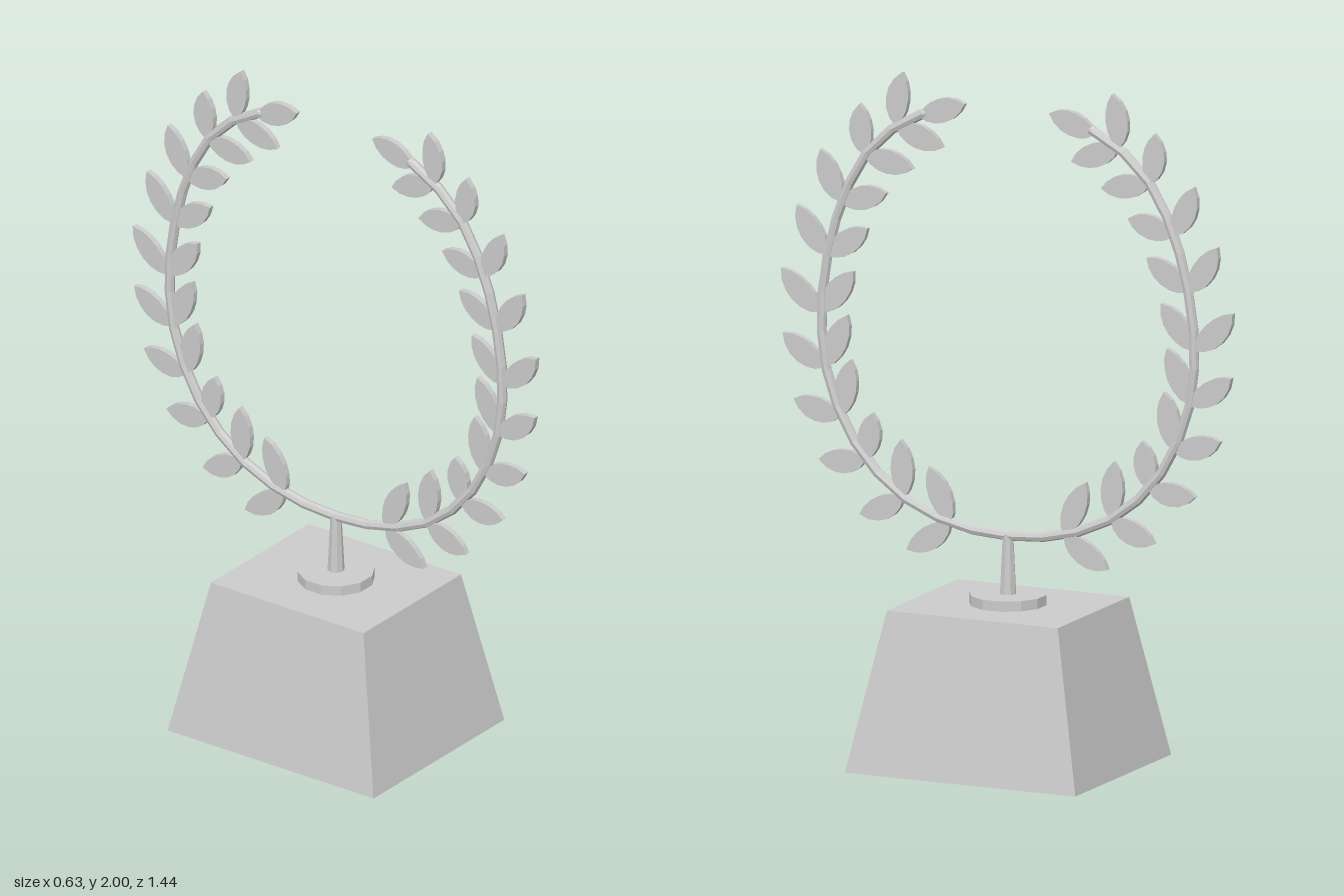
import * as THREE from 'three';

const material = new THREE.MeshStandardMaterial({ color: 0xcccccc, flatShading: true });

function add(parent, name, geometry, y = 0) {
  const mesh = new THREE.Mesh(geometry, material);
  mesh.name = name;
  mesh.position.y = y;
  parent.add(mesh);
  return mesh;
}

// Box whose top face is narrowed, standing on y = 0
function taperedBlock(w, d, h, topW, topD) {
  const g = new THREE.BoxGeometry(w, h, d).translate(0, h / 2, 0);
  const p = g.attributes.position;
  for (let i = 0; i < p.count; i++) {
    if (p.getY(i) > h / 2) {
      p.setX(i, Math.sign(p.getX(i)) * topW / 2);
      p.setZ(i, Math.sign(p.getZ(i)) * topD / 2);
    }
  }
  g.computeVertexNormals();
  return g;
}

// Pointed leaf from base to tip; left and right are the bulges of its two edges
function leafGeometry(side, bx, by, tx, ty, left, right) {
  const dx = tx - bx, dy = ty - by, len = Math.hypot(dx, dy);
  const at = (t, w) => [side * (bx + dx * t - dy / len * w), by + dy * t + dx / len * w];
  const shape = new THREE.Shape();
  shape.moveTo(...at(0, 0));
  shape.bezierCurveTo(...at(0.22, left), ...at(0.75, left), ...at(1, 0));
  shape.bezierCurveTo(...at(0.75, -right), ...at(0.22, -right), ...at(0, 0));
  const depth = 0.018;
  return new THREE.ExtrudeGeometry(shape, { depth, bevelEnabled: false, curveSegments: 6 })
    .translate(0, 0, -depth / 2);
}

// Each row: node on the branch, inner leaf tip, outer leaf tip
const nodes = [
  [0.18, 0.69, 0.25, 0.85, 0.32, 0.60],
  [0.33, 0.75, 0.34, 0.92, 0.47, 0.69],
  [0.45, 0.85, 0.43, 0.99, 0.60, 0.84],
  [0.53, 0.97, 0.50, 1.14, 0.68, 1.01],
  [0.58, 1.11, 0.51, 1.27, 0.715, 1.20],
  [0.595, 1.27, 0.49, 1.40, 0.72, 1.39],
  [0.575, 1.44, 0.445, 1.53, 0.67, 1.58],
  [0.53, 1.60, 0.385, 1.64, 0.595, 1.75],
  [0.455, 1.745, 0.30, 1.72, 0.47, 1.895],
  [0.355, 1.84, 0.205, 1.79, 0.335, 2.0],
];
const branchEnd = [0.27, 1.885];

export function createModel() {
  const model = new THREE.Group();
  model.name = 'wreathTrophy';

  // Pedestal, disc and stem
  add(model, 'pedestal', taperedBlock(0.63, 0.735, 0.47, 0.47, 0.545));
  add(model, 'disc', new THREE.CylinderGeometry(0.112, 0.112, 0.03, 12), 0.485).rotation.y = Math.PI / 12;
  add(model, 'stem', new THREE.CylinderGeometry(0.016, 0.025, 0.18, 8), 0.585);

  // Wreath is laid out in x-y, then turned into the y-z plane
  const wreath = new THREE.Group();
  wreath.name = 'wreath';
  wreath.rotation.y = -Math.PI / 2;
  model.add(wreath);

  // One branch running from tip to tip through the stem
  const half = [...nodes.map(n => [n[0], n[1]]), branchEnd];
  const points = [
    ...half.map(([x, y]) => new THREE.Vector3(-x, y, 0)).reverse(),
    new THREE.Vector3(0, 0.67, 0),
    ...half.map(([x, y]) => new THREE.Vector3(x, y, 0)),
  ];
  add(wreath, 'branch', new THREE.TubeGeometry(new THREE.CatmullRomCurve3(points), 30, 0.015, 8));

  for (const side of [1, -1]) {
    const leaves = new THREE.Group();
    leaves.name = side > 0 ? 'frontLeaves' : 'backLeaves';
    wreath.add(leaves);
    for (const [x, y, ix, iy, ox, oy] of nodes) {
      add(leaves, 'innerLeaf', leafGeometry(side, x, y, ix, iy, 0.047, 0.047));
      add(leaves, 'outerLeaf', leafGeometry(side, x, y, ox, oy, 0.04, 0.054));
    }
    // Leaf and rounded cap closing the branch tip
    add(leaves, 'tipLeaf', leafGeometry(side, 0.28, 1.875, 0.135, 1.925, 0.047, 0.047));
    const cap = add(leaves, 'branchCap', new THREE.SphereGeometry(0.015, 8, 6), branchEnd[1]);
    cap.position.x = side * branchEnd[0];
  }
  return model;
}
